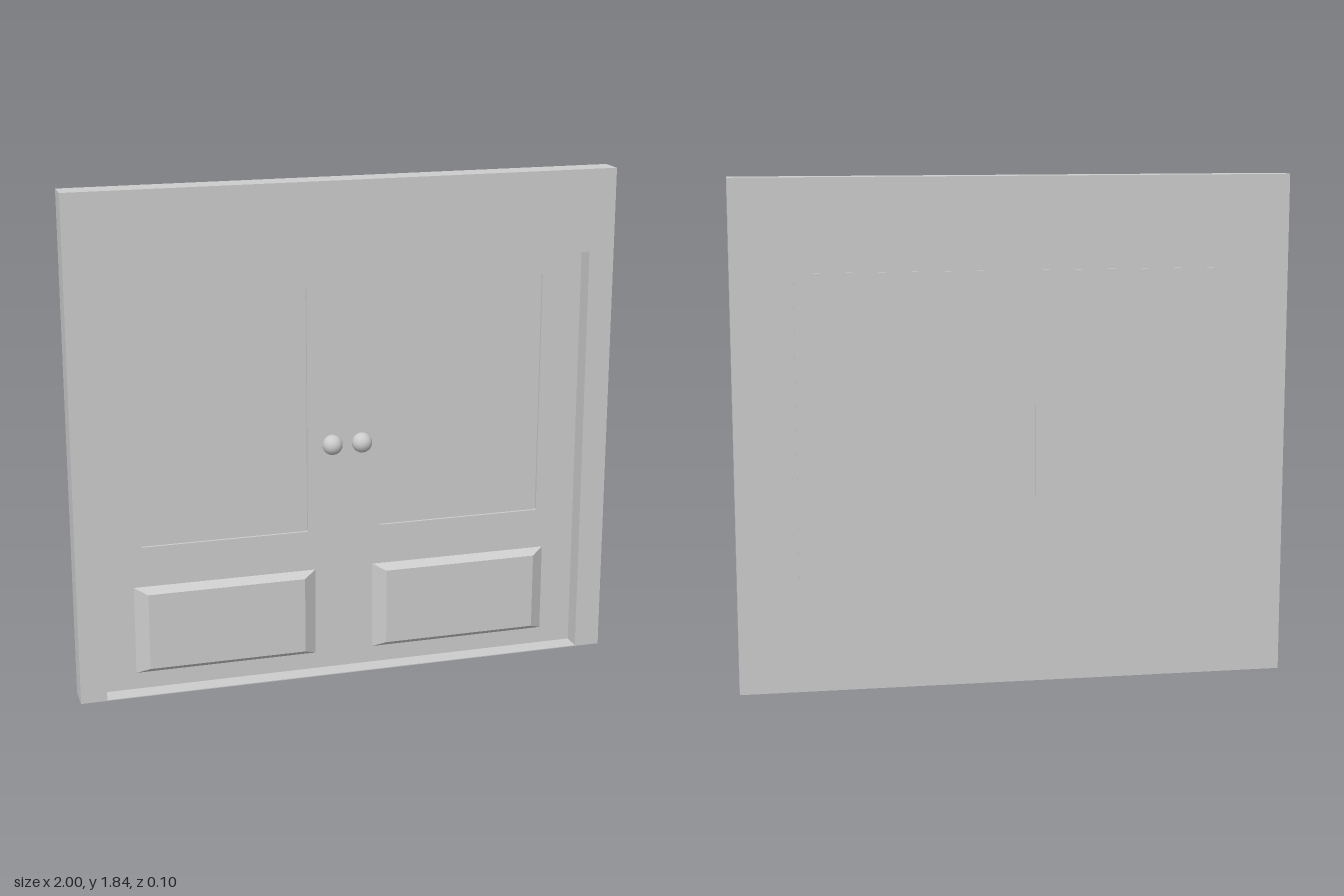
import * as THREE from 'three';

const BACK = -0.046, FRONT = 0.05, DOOR = -0.02, PANE = -0.03;

export function createModel() {
  const group = new THREE.Group();
  const material = new THREE.MeshStandardMaterial({ color: 0xcccccc });

  function add(name, geometry, x = 0, y = 0, z = 0) {
    const mesh = new THREE.Mesh(geometry, material);
    mesh.name = name;
    mesh.position.set(x, y, z);
    group.add(mesh);
    return mesh;
  }

  // Rectangle with slightly rounded corners, drawn into a Shape or a Path
  function roundedRect(path, x0, y0, x1, y1, r) {
    path.moveTo(x0 + r, y0);
    path.lineTo(x1 - r, y0).quadraticCurveTo(x1, y0, x1, y0 + r);
    path.lineTo(x1, y1 - r).quadraticCurveTo(x1, y1, x1 - r, y1);
    path.lineTo(x0 + r, y1).quadraticCurveTo(x0, y1, x0, y1 - r);
    path.lineTo(x0, y0 + r).quadraticCurveTo(x0, y0, x0 + r, y0);
    return path;
  }

  const extrude = (shape, z0, z1) =>
    new THREE.ExtrudeGeometry(shape, { depth: z1 - z0, bevelEnabled: false, curveSegments: 4 })
      .translate(0, 0, z0);

  const polygon = (points) => new THREE.Shape(points.map(([x, y]) => new THREE.Vector2(x, y)));

  // Wall around the doorway
  add('wallFrame', extrude(polygon([
    [-1, 0], [-0.905, 0], [-0.905, 1.54], [0.905, 1.54],
    [0.905, 0], [1, 0], [1, 1.84], [-1, 1.84],
  ]), BACK, FRONT));

  // Threshold closing the bottom of the recess
  add('threshold', new THREE.BoxGeometry(1.81, 0.003, FRONT - DOOR), 0, 0.0015, (FRONT + DOOR) / 2);

  // Double door with two sunken upper fields
  const door = polygon([[-0.905, 0], [0.905, 0], [0.905, 1.54], [-0.905, 1.54]]);
  const fields = [[-0.757, -0.137], [0.135, 0.755]];
  for (const [x0, x1] of fields) {
    door.holes.push(roundedRect(new THREE.Path(), x0, 0.545, x1, 1.45, 0.007));
    add('upperPanel', extrude(roundedRect(new THREE.Shape(), x0, 0.545, x1, 1.45, 0.007), BACK, PANE));
  }
  add('doubleDoor', extrude(door, BACK, DOOR));

  // Raised lower panels: boxes whose front face is drawn inwards to form bevels
  for (const side of [-1, 1]) {
    const w = 0.675, h = 0.33, d = 0.03;
    const geometry = new THREE.BoxGeometry(w, h, d);
    const p = geometry.attributes.position;
    for (let i = 0; i < p.count; i++) {
      if (p.getZ(i) < 0) continue;
      p.setX(i, p.getX(i) - Math.sign(p.getX(i)) * 0.047);
      p.setY(i, p.getY(i) - Math.sign(p.getY(i)) * 0.022);
    }
    geometry.computeVertexNormals();
    add('lowerPanel', geometry, side * 0.447, 0.23, DOOR + d / 2);
  }

  // Round knobs on short stems
  for (const x of [-0.051, 0.06]) {
    add('knob', new THREE.SphereGeometry(0.037, 20, 14).rotateX(Math.PI / 2), x, 0.878, 0.009);
    add('knobStem', new THREE.CylinderGeometry(0.014, 0.014, 0.03, 16).rotateX(Math.PI / 2), x, 0.878, -0.01);
  }

  // Thin plates on the back
  for (const [x0, x1] of [[-0.82, -0.075], [0.033, 0.78]]) {
    add('backPlate', new THREE.BoxGeometry(x1 - x0, 1.135, 0.006), (x0 + x1) / 2, 0.942, -0.047);
  }

  return group;
}
